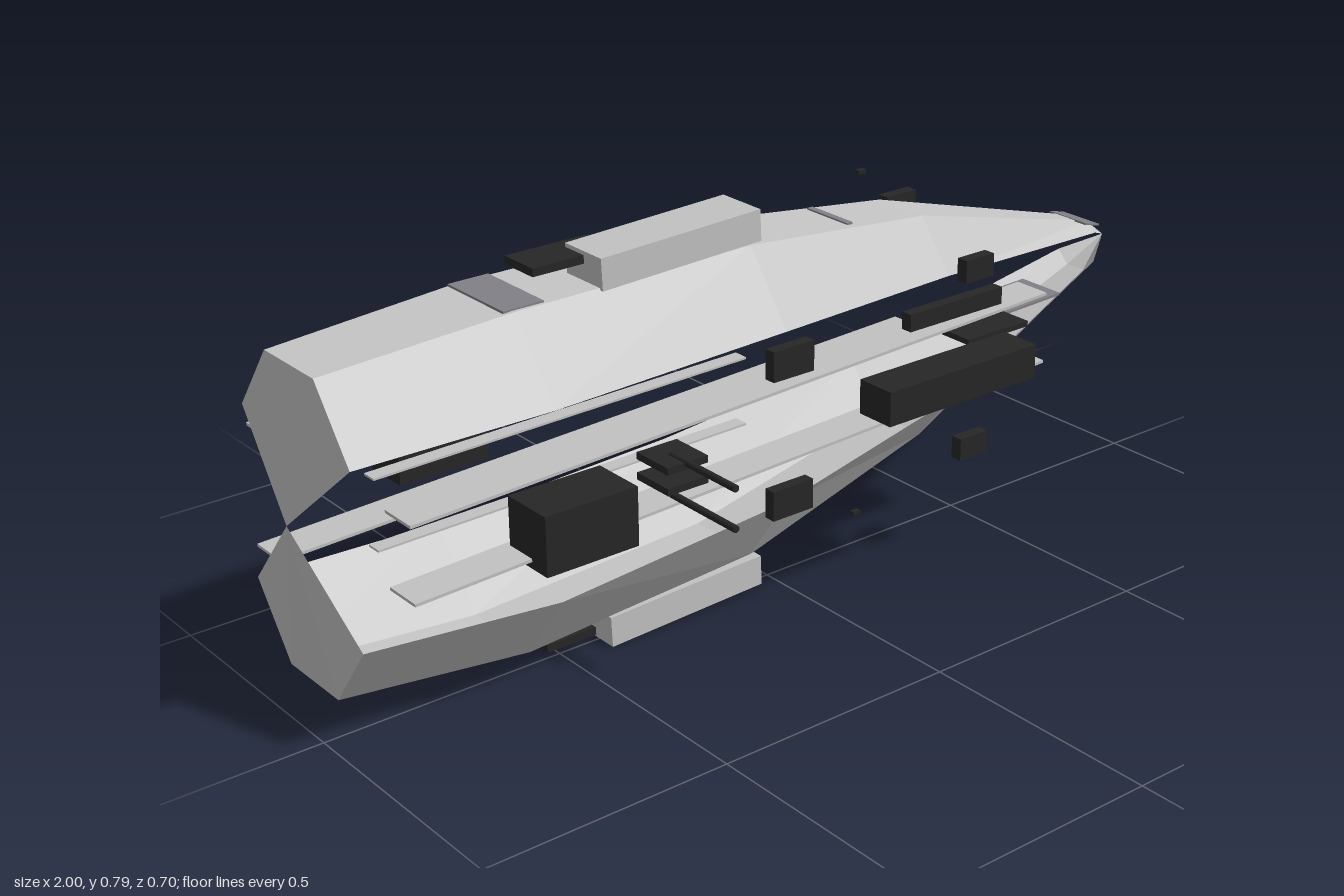
import * as THREE from 'three';

const mat = (name, color, extra = {}) => {
  const m = new THREE.MeshStandardMaterial({ color, ...extra });
  m.name = name;
  return m;
};

export function createModel() {
  const group = new THREE.Group();
  const hullGrey = mat('hullGrey', 0xc6c6c6, { side: THREE.DoubleSide, flatShading: true });
  const panelGrey = mat('panelGrey', 0xc2c2c2);
  const equipmentBlack = mat('equipmentBlack', 0x262626);
  const darkGrey = mat('darkGrey', 0x808086);

  // Box given by its extents; climb is the rise in y over its length
  const box = (name, m, x0, x1, y0, y1, z0, z1, climb = 0) => {
    const len = x1 - x0;
    const mesh = new THREE.Mesh(new THREE.BoxGeometry(Math.hypot(len, climb), y1 - y0, z1 - z0), m);
    mesh.position.set((x0 + x1) / 2, (y0 + y1) / 2, (z0 + z1) / 2);
    mesh.rotation.z = Math.atan2(climb, len);
    mesh.name = name;
    group.add(mesh);
  };

  // Half-hexagon hull shell, closed to a point at bow and stern
  // stations: x, rim y, crown y, near rim z, far rim z
  const hull = (name, stations, flip) => {
    const rings = stations.map(([x, rim, crown, zn, zf]) => {
      const c = (zn + zf) / 2, h = (zn - zf) * 0.225;
      return [[x, rim, zn], [x, crown, c + h], [x, crown, c - h], [x, rim, zf]];
    });
    const stern = [-1, 0.4, -0.07], bow = [1, 0.48, -0.072];
    const pos = [];
    const tri = (a, b, c) => pos.push(...a, ...(flip ? [...c, ...b] : [...b, ...c]));
    for (let j = 0; j < 3; j++) {
      tri(stern, rings[0][j], rings[0][j + 1]);
      for (let i = 0; i < rings.length - 1; i++) {
        const a = rings[i], b = rings[i + 1];
        tri(a[j], b[j], b[j + 1]);
        tri(a[j], b[j + 1], a[j + 1]);
      }
      const e = rings[rings.length - 1];
      tri(e[j], bow, e[j + 1]);
    }
    const geo = new THREE.BufferGeometry();
    geo.setAttribute('position', new THREE.Float32BufferAttribute(pos, 3));
    geo.computeVertexNormals();
    const mesh = new THREE.Mesh(geo, hullGrey);
    mesh.name = name;
    group.add(mesh);
  };
  hull('upperHull', [
    [-0.973, 0.56, 0.692, 0.115, -0.25],
    [-0.59, 0.575, 0.722, 0.15, -0.258],
    [-0.06, 0.58, 0.72, 0.13, -0.25],
    [0.4, 0.565, 0.67, 0.075, -0.21],
    [0.914, 0.517, 0.537, -0.014, -0.118],
  ], false);
  hull('lowerHull', [
    [-0.973, 0.222, 0.088, 0.115, -0.25],
    [-0.59, 0.206, 0.057, 0.15, -0.258],
    [-0.06, 0.233, 0.083, 0.13, -0.25],
    [0.4, 0.3, 0.2, 0.085, -0.21],
    [0.914, 0.452, 0.425, -0.014, -0.118],
  ], true);

  // Long sloping side panels, two on each side
  for (const y of [0.535, 0.297]) box('farSidePanel', panelGrey, -0.955, 0.585, y - 0.003, y + 0.003, -0.277, -0.195, 0.056);
  for (const y of [0.49, 0.345]) box('nearSidePanel', panelGrey, -0.905, 0.57, y - 0.003, y + 0.003, 0.1, 0.18, 0.055);

  // Narrow inner strips
  for (const y of [0.51, 0.376]) box('innerStrip', panelGrey, -0.9, -0.1, y - 0.002, y + 0.002, 0.03, 0.06, 0.012);

  // Pods on the crown and keel, each with a side housing and studs
  for (const [y, gear, endStud, freeStud] of [[0.755, 0.763, 0.768, 0.788], [0.044, 0.018, 0.04, 0.06]]) {
    box('pod', panelGrey, -0.41, -0.05, y - 0.031, y + 0.031, -0.066, 0.043, 0.014);
    box('podHousing', equipmentBlack, -0.52, -0.34, gear - 0.008, gear + 0.008, -0.097, -0.01);
    box('podStud', equipmentBlack, -0.05, -0.035, endStud - 0.004, endStud + 0.004, -0.026, -0.014);
    box('floatingStud', equipmentBlack, 0.24, 0.258, freeStud - 0.004, freeStud + 0.004, -0.026, -0.014);
  }

  // Thin bands and plates
  box('crownBand', darkGrey, -0.61, -0.525, 0.718, 0.725, -0.145, 0.03);
  box('crownSeam', darkGrey, 0.208, 0.222, 0.69, 0.694, -0.13, -0.01);
  box('bowPlate', darkGrey, 0.875, 0.918, 0.539, 0.543, -0.112, -0.008, -0.011);
  box('bowDeck', darkGrey, 0.5, 0.8, 0.402, 0.407, -0.11, 0, 0.01);

  // Engine blocks either side of the stern
  box('nearEngine', equipmentBlack, -0.67, -0.475, 0.31, 0.425, 0.112, 0.225);
  box('farEngine', equipmentBlack, -0.67, -0.475, 0.31, 0.425, -0.352, -0.252);

  // Long outrigger block and the slabs behind it
  box('outriggerBlock', equipmentBlack, 0.01, 0.38, 0.44, 0.508, 0.257, 0.34);
  box('upperSlab', equipmentBlack, 0.2, 0.44, 0.53, 0.565, 0.16, 0.185);
  box('flatSlab', equipmentBlack, 0.33, 0.49, 0.478, 0.489, 0.13, 0.21);

  // Twin side rods on their mounts
  for (const [rodY, mountY] of [[0.43, 0.425], [0.352, 0.385]]) {
    const rod = new THREE.Mesh(new THREE.CylinderGeometry(0.007, 0.007, 0.185, 10), equipmentBlack);
    rod.rotation.x = Math.PI / 2;
    rod.position.set(-0.356, rodY, 0.257);
    rod.name = 'sideRod';
    group.add(rod);
    box('rodMount', equipmentBlack, -0.4, -0.31, mountY - 0.007, mountY + 0.007, 0.12, 0.212);
  }

  // Small thruster blocks around the hulls
  for (const [x, y, z, w, h, d] of [
    [-0.087, 0.545, 0.172, 0.096, 0.06, 0.024],
    [-0.087, 0.265, 0.172, 0.096, 0.06, 0.024],
    [0.373, 0.62, 0.178, 0.072, 0.046, 0.025],
    [0.373, 0.247, 0.178, 0.072, 0.046, 0.025],
    [0.54, 0.613, -0.23, 0.08, 0.036, 0.026],
    [0.54, 0.274, -0.23, 0.08, 0.036, 0.026],
  ]) box('thruster', equipmentBlack, x - w / 2, x + w / 2, y - h / 2, y + h / 2, z - d / 2, z + d / 2);

  return group;
}
